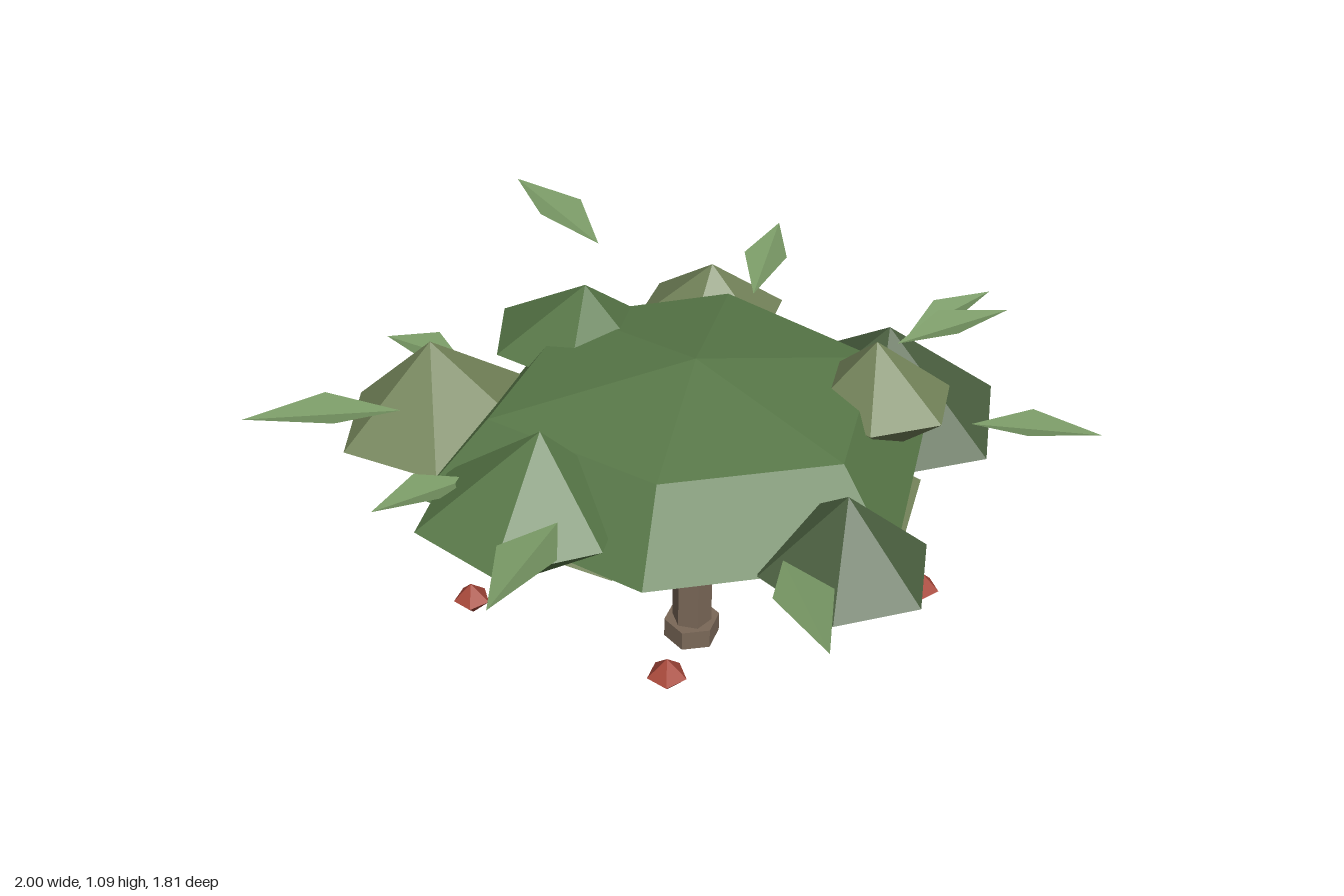
import * as THREE from 'three';

const mat = (color, side = THREE.FrontSide) =>
  new THREE.MeshStandardMaterial({ color, flatShading: true, side });

const green = mat(0x587848), dark = mat(0x4a5f3f), olive = mat(0x74845a);
const bark = mat(0x7a6858), red = mat(0xa8483a);
const leafMat = mat(0x7a9a66, THREE.DoubleSide);
const up = new THREE.Vector3(0, 1, 0);

// Faceted dome over an irregular rim, closed by a shallow cone below
function crownGeometry(cx) {
  const rim = [[-0.62, 0], [-0.19, 0.49], [0.4, 0.55], [0.73, 0], [0.38, -0.55], [-0.2, -0.57]];
  const level = (y, k) => rim.map(([x, z]) => new THREE.Vector3(cx + (x - cx) * k, y, z * k));
  const levels = [level(0.9, 0), level(0.82, 0.74), level(0.62, 1), level(0.33, 0)];
  const points = [];
  for (let i = 0; i < 3; i++) {
    for (let j = 0; j < 6; j++) {
      const n = (j + 1) % 6;
      const [a, b, c, d] = [levels[i][j], levels[i + 1][j], levels[i + 1][n], levels[i][n]];
      if (i < 2) points.push(a, b, c);
      if (i > 0) points.push(a, c, d);
    }
  }
  const geometry = new THREE.BufferGeometry().setFromPoints(points);
  geometry.computeVertexNormals();
  return geometry;
}

// Six-sided double pyramid whose top leans by dx, dz
function clumpGeometry([rx, ry, rz], turn, dx, dz) {
  const lean = new THREE.Matrix4().set(
    1, dx / ry, 0, 0,
    0, 1, 0, 0,
    0, dz / ry, 1, 0,
    0, 0, 0, 1);
  return new THREE.SphereGeometry(1, 6, 2).scale(rx, ry, rz).rotateY(turn).applyMatrix4(lean);
}

// Diamond leaf creased from inner to outer end, with raised sides
function leafGeometry(a, b, width) {
  const base = new THREE.Vector3(...a), tip = new THREE.Vector3(...b);
  const side = tip.clone().sub(base).cross(up).normalize().multiplyScalar(width / 2);
  const mid = base.clone().lerp(tip, 0.45);
  mid.y += 0.02;
  const l = mid.clone().sub(side), r = mid.clone().add(side);
  const geometry = new THREE.BufferGeometry().setFromPoints([base, tip, l, base, r, tip]);
  geometry.computeVertexNormals();
  return geometry;
}

export function createModel() {
  const tree = new THREE.Group();
  tree.name = 'tree';

  const add = (name, geometry, material, pos = [0, 0, 0]) => {
    const mesh = new THREE.Mesh(geometry, material);
    mesh.name = name;
    mesh.position.set(...pos);
    tree.add(mesh);
    return mesh;
  };

  // Trunk with a wider foot
  const cx = 0.085;
  add('trunk', new THREE.CylinderGeometry(0.055, 0.055, 0.46, 6), bark, [cx, 0.23, 0]);
  add('trunkFoot', new THREE.CylinderGeometry(0.077, 0.077, 0.06, 6).rotateY(0.4), bark, [cx, 0.03, 0]);

  // Branches spreading from the trunk into the crown
  [[-0.1, 0.42, 0.02], [0.27, 0.42, 0.02], [0.1, 0.44, -0.18]].forEach((end) => {
    const a = new THREE.Vector3(cx, 0.26, 0), b = new THREE.Vector3(...end);
    const dir = b.clone().sub(a);
    const branch = add('branch', new THREE.CylinderGeometry(0.015, 0.024, dir.length(), 5), bark);
    branch.position.copy(a).add(b).multiplyScalar(0.5);
    branch.quaternion.setFromUnitVectors(up, dir.normalize());
  });

  add('crown', crownGeometry(cx), green);

  // Foliage clumps: centre, radii, material, turn, lean
  [
    [[0.67, 0.555, -0.155], [0.325, 0.245, 0.36], dark, 0, 0, 0],
    [[0.53, 0.785, 0.125], [0.185, 0.165, 0.18], olive, 0, -0.025, 0],
    [[0.285, 0.63, 0.52], [0.21, 0.185, 0.24], dark, 0, 0, 0],
    [[-0.4, 0.69, 0.205], [0.26, 0.215, 0.245], green, 0.05, 0.05, 0],
    [[-0.485, 0.6, -0.355], [0.3, 0.24, 0.27], olive, 0.28, -0.03, 0],
    [[0.29, 0.71, -0.52], [0.21, 0.165, 0.2], olive, -0.05, -0.01, 0.04],
    [[-0.13, 0.77, -0.4], [0.22, 0.185, 0.24], green, 0.2, 0.02, 0.07],
    [[0.33, 0.495, 0.12], [0.34, 0.24, 0.3], olive, 0, 0, 0],
    [[-0.15, 0.49, 0.02], [0.27, 0.19, 0.27], olive, 0.3, 0, 0],
  ].forEach(([pos, radii, material, turn, dx, dz]) =>
    add('foliageClump', clumpGeometry(radii, turn, dx, dz), material, pos));

  // Hanging fruit
  const fruit = new THREE.SphereGeometry(0.047, 5, 2);
  [
    [-0.17, 0.485, 0.625], [0.585, 0.335, 0.35], [0.44, 0.328, -0.44],
    [-0.52, 0.315, 0.05], [-0.19, 0.35, -0.56],
  ].forEach((pos) => add('fruit', fruit, red, pos));

  // Loose leaves: inner end, outer end, width
  [
    [[-0.09, 0.55, -0.62], [-0.145, 0.58, -0.91], 0.11],
    [[-0.06, 1.04, -0.38], [-0.2, 1.09, -0.7], 0.13],
    [[0.38, 0.8, -0.42], [0.555, 0.845, -0.71], 0.12],
    [[0.72, 0.78, -0.14], [0.99, 0.815, -0.23], 0.1],
    [[0.62, 0.85, 0], [0.92, 0.9, 0], 0.12],
    [[0.72, 0.75, 0.25], [0.98, 0.78, 0.42], 0.12],
    [[-0.63, 0.81, -0.11], [-1, 0.86, -0.1], 0.14],
    [[-0.36, 0.8, 0.41], [-0.575, 0.845, 0.705], 0.14],
    [[0.12, 0.7, 0.56], [0.1, 0.725, 0.9], 0.14],
    [[-0.5, 0.73, 0.1], [-0.75, 0.755, 0.2], 0.12],
    [[-0.43, 0.72, -0.44], [-0.6, 0.72, -0.61], 0.12],
  ].forEach(([a, b, width]) => add('leaf', leafGeometry(a, b, width), leafMat));

  return tree;
}
